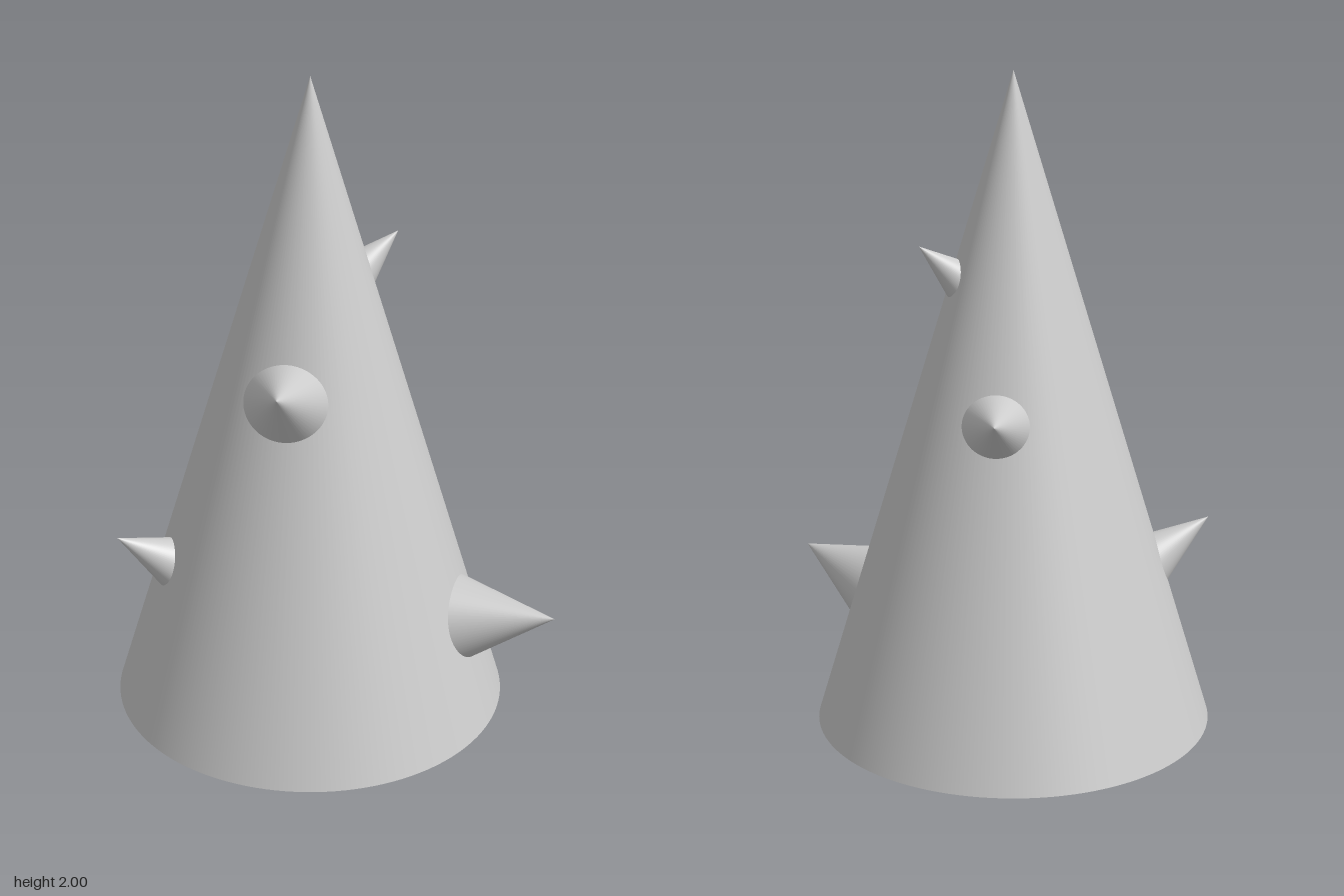
import * as THREE from 'three';

const material = new THREE.MeshStandardMaterial({ color: 0xcccccc });
const UP = new THREE.Vector3(0, 1, 0);

// Spikes: tip position, outward direction, length (base sunk inside the body), base radius
const SPIKES = [
  { name: 'lowerFrontSpike', tip: [0.58, 0.4, 0.535], dir: [0.661, 0.239, 0.711], length: 0.36, radius: 0.154 },
  { name: 'middleFrontSpike', tip: [-0.258, 1.215, 0.405], dir: [-0.436, 0.432, 0.789], length: 0.3, radius: 0.142 },
  { name: 'upperLeftSpike', tip: [0.282, 1.495, -0.008], dir: [0.755, 0.656, 0], length: 0.2, radius: 0.075 },
  { name: 'lowerRightSpike', tip: [-0.604, 0.615, -0.047], dir: [-0.825, 0.565, 0.01], length: 0.25, radius: 0.095 },
  { name: 'middleBackSpike', tip: [0.146, 1.07, -0.46], dir: [0.229, 0.28, -0.933], length: 0.26, radius: 0.123 },
];

function makeSpike({ name, tip, dir, length, radius }) {
  const geometry = new THREE.ConeGeometry(radius, length, 64);
  geometry.translate(0, -length / 2, 0); // tip at the origin
  const spike = new THREE.Mesh(geometry, material);
  spike.name = name;
  spike.position.set(...tip);
  spike.quaternion.setFromUnitVectors(UP, new THREE.Vector3(...dir).normalize());
  return spike;
}

export function createModel() {
  const model = new THREE.Group();
  model.name = 'spikedCone';

  // Main cone with a closed base
  const body = new THREE.Mesh(new THREE.ConeGeometry(0.607, 2, 128), material);
  body.name = 'body';
  body.position.y = 1;
  model.add(body);

  // Spikes growing out of the sides
  for (const spike of SPIKES) model.add(makeSpike(spike));
  return model;
}
